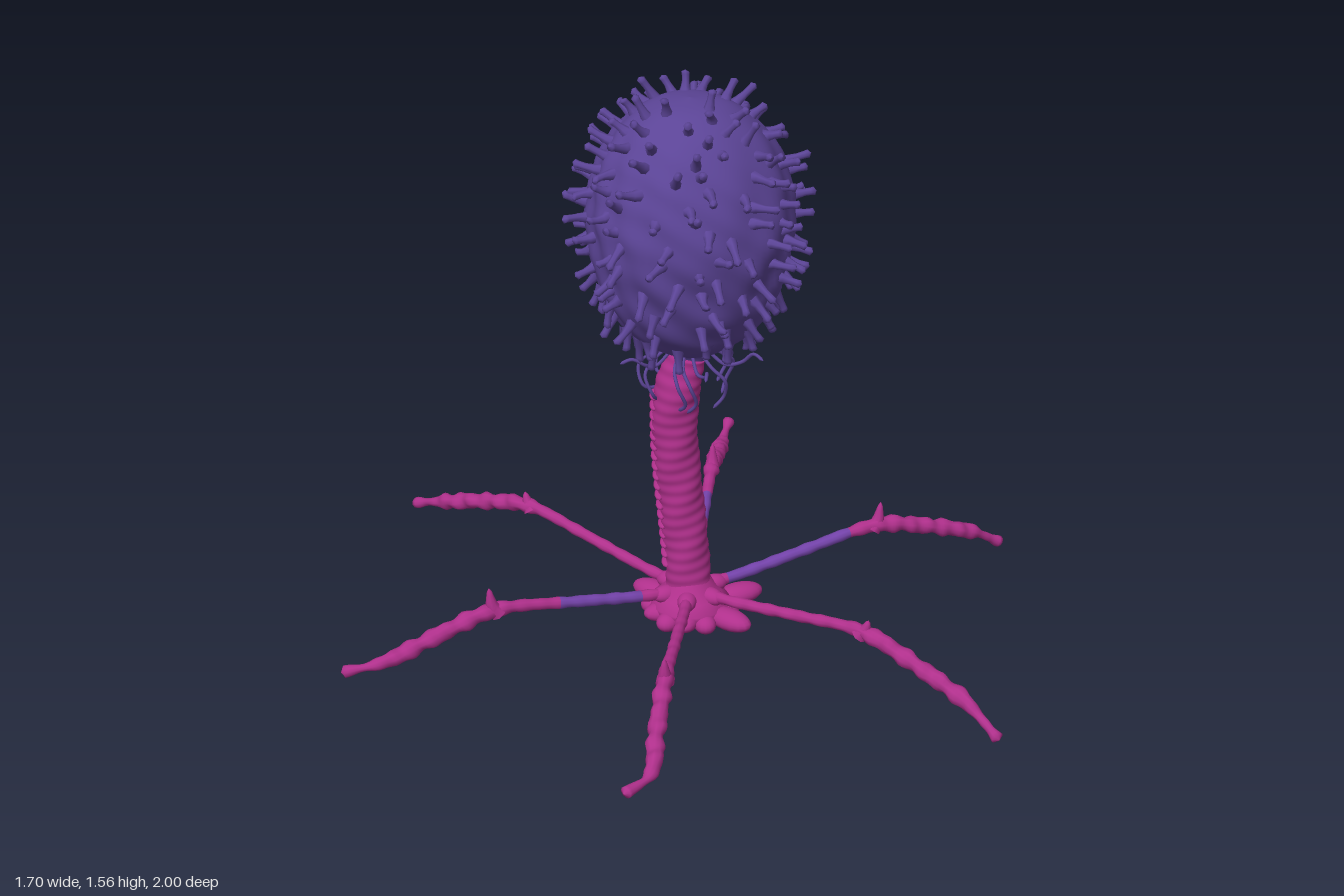
import * as THREE from 'three';
import { mergeVertices, mergeGeometries } from 'three/addons/utils/BufferGeometryUtils.js';

const V = (x, y, z) => new THREE.Vector3(x, y, z);

function seeded(seed) {
  return () => {
    seed = (seed * 16807) % 2147483647;
    return seed / 2147483647;
  };
}

// Weld seams so the surface shades smoothly
function smooth(geo) {
  geo.deleteAttribute('uv');
  geo.deleteAttribute('normal');
  const g = mergeVertices(geo, 1e-5);
  g.computeVertexNormals();
  return g;
}

// Tube whose radius follows radius(u, angle)
function taperTube(points, radius, seg, sides) {
  const curve = new THREE.CatmullRomCurve3(points);
  const geo = new THREE.TubeGeometry(curve, seg, 1, sides);
  const pos = geo.attributes.position, v = V(0, 0, 0);
  for (let i = 0; i <= seg; i++) {
    const c = curve.getPointAt(i / seg);
    for (let j = 0; j <= sides; j++) {
      const k = i * (sides + 1) + j;
      v.fromBufferAttribute(pos, k).sub(c);
      v.multiplyScalar(radius(i / seg, ((j % sides) / sides) * Math.PI * 2)).add(c);
      pos.setXYZ(k, v.x, v.y, v.z);
    }
  }
  return smooth(geo);
}

export function createModel() {
  const root = new THREE.Group();
  const mat = (name, color) => Object.assign(new THREE.MeshStandardMaterial({ color }), { name });
  const purple = mat('headPurple', 0x5b4496);
  const magenta = mat('tailMagenta', 0xb0308c);
  const violet = mat('legViolet', 0x7443aa);
  const rnd = seeded(4217);
  const add = (name, geo, m, parent = root) => {
    const mesh = new THREE.Mesh(geo, m);
    mesh.name = name;
    parent.add(mesh);
    return mesh;
  };

  // Lumpy egg-shaped head
  const profile = [[0.001, 0.78], [0.04, 0.785], [0.052, 0.82], [0.1, 0.845], [0.165, 0.895], [0.205, 0.95],
    [0.245, 1.05], [0.266, 1.17], [0.262, 1.26], [0.232, 1.36], [0.175, 1.445], [0.095, 1.503], [0.001, 1.52]];
  const outline = new THREE.SplineCurve(profile.map(([x, y]) => new THREE.Vector2(x, y)));
  const headGeo = smooth(new THREE.LatheGeometry(outline.getSpacedPoints(64), 84));
  const hp = headGeo.attributes.position;
  for (let i = 0; i < hp.count; i++) {
    const x = hp.getX(i), y = hp.getY(i), z = hp.getZ(i);
    const k = 1 + 0.016 * Math.sin(x * 47 + y * 21) * Math.sin(y * 43 + z * 15) + 0.013 * Math.sin(z * 58 - x * 30 + y * 25);
    hp.setXYZ(i, x * k, y, z * k);
  }
  headGeo.computeVertexNormals();
  add('head', headGeo, purple);

  // Short bent spikes spread over the head, lying flatter towards the neck
  const spikes = [];
  const spikeShape = [[0.018, -0.015], [0.0125, 0.01], [0.0095, 0.033], [0.01, 0.053], [0.011, 0.063], [0.0001, 0.07]]
    .map(([x, y]) => new THREE.Vector2(x, y));
  const count = 215;
  for (let i = 0; i < count; i++) {
    const want = 1.512 - 0.65 * ((i + 0.5) / count);
    let lo = 0, hi = 1;
    for (let s = 0; s < 20; s++) {
      const mid = (lo + hi) / 2;
      if (outline.getPointAt(mid).y < want) lo = mid; else hi = mid;
    }
    const p = outline.getPointAt(lo), t = outline.getTangentAt(lo);
    const a = i * 2.39996 + (rnd() - 0.5) * 0.4;
    const n = V(t.y * Math.sin(a), -t.x, t.y * Math.cos(a));
    const flat = 0.15 + 0.85 * (1 - THREE.MathUtils.smoothstep(p.y, 0.88, 1.15));
    n.add(V(t.x * Math.sin(a), t.y, t.x * Math.cos(a)).multiplyScalar(-flat));
    n.add(V(rnd() - 0.5, rnd() - 0.5, rnd() - 0.5).multiplyScalar(0.7)).normalize();
    const g = new THREE.LatheGeometry(spikeShape, 7);
    const sp = g.attributes.position, bend = (rnd() - 0.5) * 6, len = 0.55 + rnd() * 0.45;
    for (let k = 0; k < sp.count; k++) {
      const y = sp.getY(k);
      sp.setX(k, sp.getX(k) + bend * y * y);
      sp.setY(k, y * len);
    }
    g.applyQuaternion(new THREE.Quaternion().setFromUnitVectors(V(0, 1, 0), n));
    g.translate(p.x * Math.sin(a), p.y, p.x * Math.cos(a));
    spikes.push(smooth(g));
  }
  add('headSpikes', mergeGeometries(spikes), purple);

  // Thin curling fibres around the neck, some hanging, some reaching outward
  const fibres = [];
  for (let i = 0; i < 14; i++) {
    const a = (i / 14) * Math.PI * 2 + rnd() * 0.3;
    const at = (r, y, da) => V(r * Math.sin(a + da), y, r * Math.cos(a + da));
    const j = rnd() * 0.03;
    const path = i % 3
      ? [at(0.05, 0.83, 0), at(0.09, 0.8, 0.1), at(0.115 + j, 0.765, 0.3), at(0.1 + j, 0.71, 0.45), at(0.085, 0.675 + j, 0.2)]
      : [at(0.05, 0.83, 0), at(0.1, 0.795, 0.1), at(0.14, 0.8 + j, 0.2), at(0.175, 0.835, 0.15), at(0.205, 0.825, 0.1)];
    fibres.push(taperTube(path, u => (u === 0 || u === 1 ? 0.0001 : 0.0048), 22, 6));
  }
  add('neckFibres', mergeGeometries(fibres), purple);

  // Slightly bent tail, ribbed along its back and one side
  add('tail', taperTube([V(0, 0.05, -0.003), V(0, 0.2, -0.01), V(-0.013, 0.42, -0.025), V(-0.027, 0.6, -0.03),
    V(-0.027, 0.72, -0.018), V(-0.012, 0.815, 0)],
    (u, a) => (u === 1 ? 0.0001 : 0.06 - 0.012 * Math.max(0, (u - 0.88) / 0.12))
      + 0.0012 * Math.sin(u * Math.PI * 2 * 22 + a) + 0.0015 * Math.sin(a * 3 + u * 30), 150, 28), magenta);
  const ribs = [];
  for (let i = 0; i < 18; i++) {
    const y = 0.18 + i * 0.03, s = THREE.MathUtils.smoothstep(y, 0.1, 0.6);
    const g = new THREE.SphereGeometry(1, 10, 8);
    g.scale(0.034, 0.009, 0.014);
    g.rotateY(0.62);
    g.translate(-0.027 * s - 0.031, y, -0.01 - 0.02 * s - 0.043);
    ribs.push(g);
  }
  add('tailRibs', mergeGeometries(ribs), magenta);

  // Baseplate: hub, outward lobes and small knobs between them
  const base = new THREE.Group();
  base.name = 'baseplate';
  root.add(base);
  const hub = [[0.0001, 0.022], [0.07, 0.022], [0.105, 0.04], [0.108, 0.065], [0.085, 0.09], [0.068, 0.11], [0.05, 0.14]];
  add('hub', smooth(new THREE.LatheGeometry(hub.map(([x, y]) => new THREE.Vector2(x, y)), 32)), magenta, base);
  const blob = (name, a, r, y, sx, sy, sz) => {
    const m = add(name, new THREE.SphereGeometry(1, 16, 12), magenta, base);
    m.position.set(r * Math.sin(a), y, r * Math.cos(a));
    m.scale.set(sx, sy, sz);
    m.rotation.y = a;
  };
  [0.2, 0.215, 0.21, 0.19, 0.135, 0.135].forEach((reach, i) => {
    const a = (i * Math.PI) / 3;
    blob('lobe', a, reach - 0.07, 0.046, 0.036, 0.029, 0.07);
    blob('knob', a + Math.PI / 6, 0.1, 0.04, 0.03, 0.026, 0.035);
    blob('legSocket', a, 0.07, 0.097, 0.026, 0.024, 0.04);
  });

  // Six jointed legs: angle from the front, tip, violet stretch along the leg, spur height
  const legs = [
    [0, [-0.037, 0.025, 1], null, 0.035],
    [60, [0.845, 0.01, 0.475], [0.08, 0.46], 0.065],
    [120, [0.838, 0.112, -0.472], [0.3, 0.42], 0.065],
    [180, [0.005, 0.025, -1], null, 0.035],
    [240, [-0.832, 0.06, -0.515], [0.12, 0.36], 0.065],
    [300, [-0.85, 0.082, 0.428], null, 0.065],
  ];
  const seg = 110, sides = 10;
  legs.forEach(([deg, tip, band, spurHeight], i) => {
    const leg = new THREE.Group();
    leg.name = 'leg';
    root.add(leg);
    const a = THREE.MathUtils.degToRad(deg);
    const at = (r, y) => V(r * Math.sin(a), y, r * Math.cos(a));
    const path = [at(0.03, 0.095), at(0.15, 0.107), at(0.35, 0.138), at(0.53, 0.165), at(0.6, 0.16),
      at(0.74, 0.12), at(0.87, 0.07 + tip[1] * 0.2), V(...tip)];
    const geo = taperTube(path, (u, t) => {
      if (u === 0 || u === 1) return 0.0001;
      const outer = THREE.MathUtils.smoothstep(u, 0.45, 0.6);
      const thin = THREE.MathUtils.smoothstep(u, 0.85, 0.93);
      const foot = THREE.MathUtils.smoothstep(u, 0.95, 0.99);
      const lumps = Math.sin(u * 115 + i) * 0.0018 + Math.sin(u * 71 + t * 2 + i * 2) * 0.002;
      return 0.0155 + 0.0065 * outer - 0.0105 * thin + 0.005 * foot + lumps * (0.4 + outer - thin);
    }, seg, sides);
    if (band) {
      const per = sides * 6, s = Math.round(band[0] * seg), e = Math.round(band[1] * seg);
      geo.addGroup(0, s * per, 0);
      geo.addGroup(s * per, (e - s) * per, 1);
      geo.addGroup(e * per, (seg - e) * per, 0);
    }
    add('legShaft', geo, band ? [magenta, violet] : magenta, leg);
    // Pointed spur on the knee
    add('kneeSpur', taperTube([at(0.55, 0.155), at(0.565, 0.175), at(0.575, 0.17 + spurHeight)],
      u => 0.021 * (1 - u) + 0.004 * (u < 1 ? 1 : 0.05), 8, 8), magenta, leg);
  });

  return root;
}
